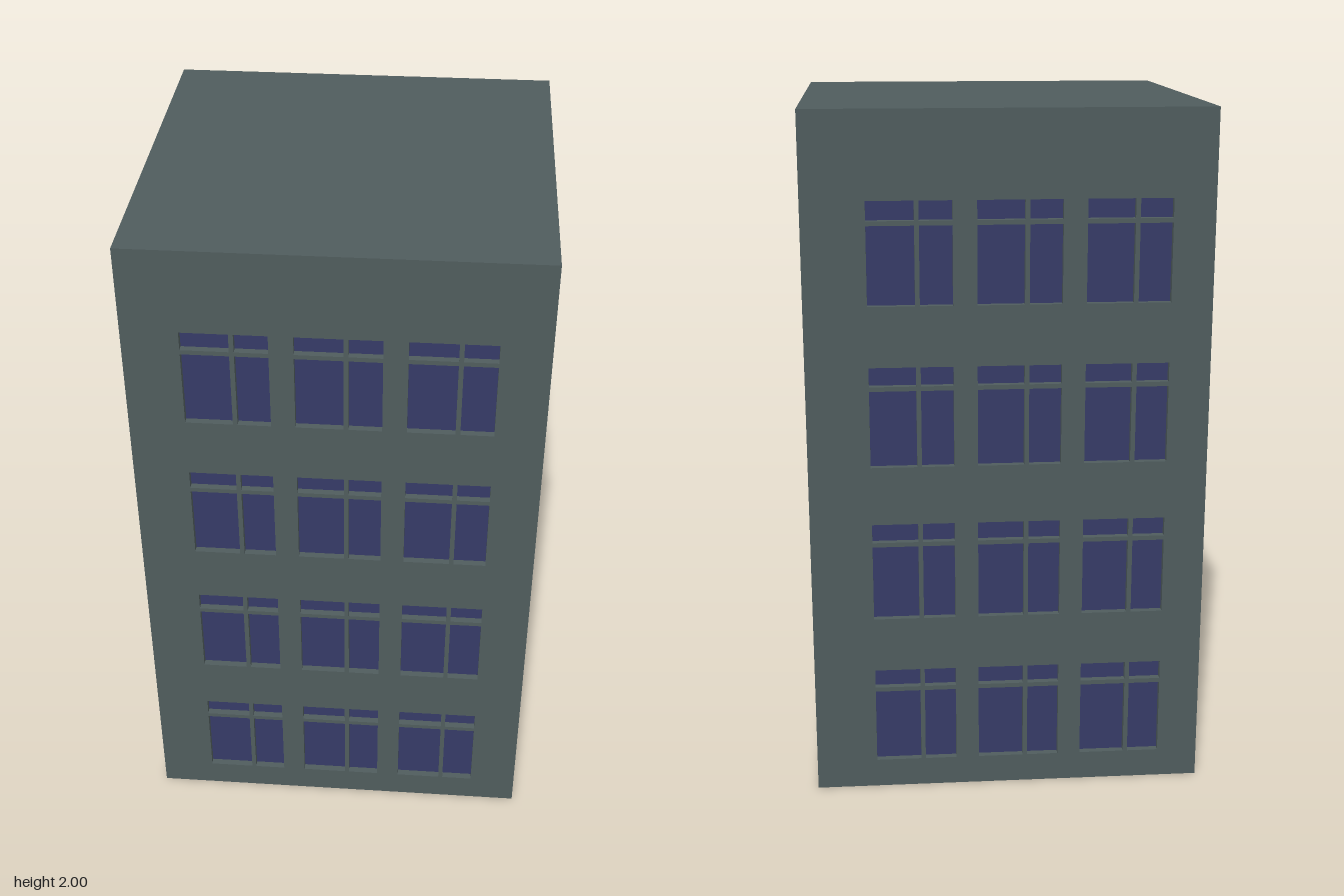
import * as THREE from 'three';

const HALF = 0.57, HEIGHT = 2, RECESS = 0.02;
const ROWS = [0.085, 0.538, 1.0, 1.464]; // sill heights
const COLS = [-0.413, -0.109, 0.195]; // left edge of each window
const WIN_W = 0.237, WIN_H = 0.291;
// each window: wide and narrow casement, each with a transom light above
const PANES_X = [[0, 0.132], [0.145, WIN_W]];
const PANES_Y = [[0, 0.223], [0.236, WIN_H]];

function rectangle(Type, x0, y0, x1, y1) {
  const r = new Type();
  r.moveTo(x0, y0);
  r.lineTo(x1, y0);
  r.lineTo(x1, y1);
  r.lineTo(x0, y1);
  r.closePath();
  return r;
}

// One facade facing +z, its outer surface at z = HALF
function createFacade(name, halfWidth, shift, wallMat, glassMat) {
  const facade = new THREE.Group();
  facade.name = name;
  const shape = rectangle(THREE.Shape, -halfWidth, 0, halfWidth, HEIGHT);

  for (const row of ROWS) {
    for (const col of COLS) {
      const x = col + shift;
      for (const [x0, x1] of PANES_X) {
        for (const [y0, y1] of PANES_Y) {
          shape.holes.push(rectangle(THREE.Path, x + x0, row + y0, x + x1, row + y1));
        }
      }
      // glass sheet set behind the mullions
      const glass = new THREE.Mesh(new THREE.BoxGeometry(WIN_W, WIN_H, 0.005), glassMat);
      glass.name = 'windowGlass';
      glass.position.set(x + WIN_W / 2, row + WIN_H / 2, HALF - RECESS - 0.0025);
      facade.add(glass);
    }
  }

  const wall = new THREE.Mesh(
    new THREE.ExtrudeGeometry(shape, { depth: RECESS, bevelEnabled: false }), wallMat);
  wall.name = 'wall';
  wall.position.z = HALF - RECESS;
  facade.add(wall);
  return facade;
}

export function createModel() {
  const wallMat = new THREE.MeshStandardMaterial({ color: 0x4f5c5d });
  wallMat.name = 'grey wall';
  const glassMat = new THREE.MeshStandardMaterial({ color: 0x363b67 });
  glassMat.name = 'blue glass';

  const building = new THREE.Group();
  building.name = 'apartmentBlock';

  // solid core closing the roof and the base
  const inner = 2 * (HALF - RECESS - 0.004);
  const core = new THREE.Mesh(new THREE.BoxGeometry(inner, HEIGHT, inner), wallMat);
  core.name = 'core';
  core.position.y = HEIGHT / 2;
  building.add(core);

  // roof and base slabs fill out to the facades
  for (const [name, y] of [['roof', HEIGHT - 0.01], ['base', 0.01]]) {
    const slab = new THREE.Mesh(new THREE.BoxGeometry(2 * HALF, 0.02, 2 * HALF), wallMat);
    slab.name = name;
    slab.position.y = y;
    building.add(slab);
  }

  // the window grid sits slightly off centre on each side
  const sides = [
    ['frontFacade', 0, HALF, 0],
    ['leftFacade', Math.PI / 2, HALF - RECESS, 0.053],
    ['backFacade', Math.PI, HALF, 0.02],
    ['rightFacade', -Math.PI / 2, HALF - RECESS, -0.062],
  ];
  for (const [name, angle, halfWidth, shift] of sides) {
    const facade = createFacade(name, halfWidth, shift, wallMat, glassMat);
    facade.rotation.y = angle;
    building.add(facade);
  }
  return building;
}
